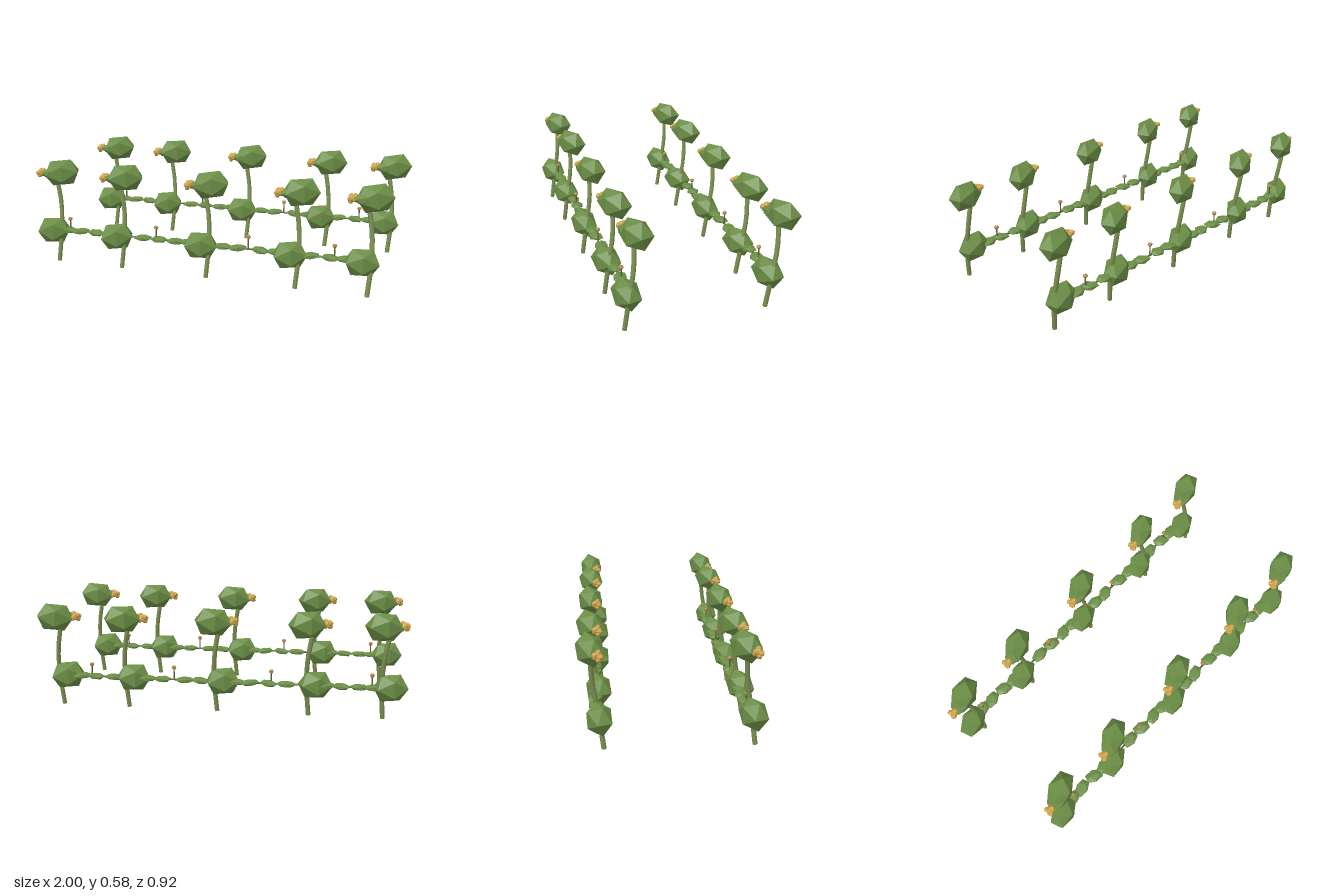
import * as THREE from 'three';

const mat = (color, flatShading = true) => new THREE.MeshStandardMaterial({ color, flatShading });
const leafGreen = mat(0x6b8e46);
const stemGreen = mat(0x7a9150, false);
const petal = mat(0xd0a54c);
const twig = mat(0x5f6238);
const budTan = mat(0xb88a4a);

const ico = new THREE.IcosahedronGeometry(1, 0);

// A faceted lump, stretched and turned
function lump(name, material, pos, scale, yaw = 0, roll = 0) {
  const m = new THREE.Mesh(ico, material);
  m.name = name;
  m.position.set(...pos);
  m.scale.set(...scale);
  m.rotation.set(0, yaw, roll);
  return m;
}

// One plant: curved stem, low foliage, drooping crown and flower
function plant(i) {
  const g = new THREE.Group();
  g.name = 'plant';
  const path = new THREE.CatmullRomCurve3([
    [0, 0, 0.04], [0.012, 0.18, 0.017], [0.004, 0.33, -0.008], [-0.02, 0.47, -0.016],
  ].map((p) => new THREE.Vector3(...p)));
  const stem = new THREE.Mesh(new THREE.TubeGeometry(path, 8, 0.0125, 8), stemGreen);
  stem.name = 'stem';
  const cap = new THREE.Mesh(new THREE.CircleGeometry(0.0125, 8), stemGreen);
  cap.name = 'stemEnd';
  cap.rotation.x = Math.PI / 2;
  cap.position.set(0, 0.001, 0.04);
  g.add(stem, cap);

  const wobble = [0, 0.06, -0.04, 0.05, -0.05][i];
  g.add(lump('lowerFoliage', leafGreen, [-0.035, 0.174, 0.02], [0.1, 0.083, 0.069], 0.33 + wobble, wobble));
  g.add(lump('crownFoliage', leafGreen, [0.012, 0.505, -0.018], [0.108, 0.082, 0.07], 0.4 + wobble, 0.08 - wobble));
  g.add(lump('bract', leafGreen, [-0.03, 0.506, 0.023], [0.066, 0.028, 0.03], 0.12, 0.06));

  // Flower made of small petals clustered round a centre
  const flower = new THREE.Group();
  flower.name = 'flower';
  flower.position.set(-0.094, 0.506, 0.018);
  flower.add(lump('flowerCentre', petal, [0, 0, 0], [0.024, 0.024, 0.024], 0.4));
  for (let k = 0; k < 5; k++) {
    const a = (k / 5) * Math.PI * 2;
    flower.add(lump('petal', petal, [k % 2 ? 0.012 : -0.012, 0.014 * Math.sin(a), 0.015 * Math.cos(a)],
      [0.017, 0.015, 0.015], a, a));
  }
  g.add(flower);
  return g;
}

// A thin stalk with a bud on top
function sprig() {
  const g = new THREE.Group();
  g.name = 'sprig';
  const stalk = new THREE.Mesh(new THREE.CylinderGeometry(0.004, 0.004, 0.066, 6), twig);
  stalk.name = 'stalk';
  stalk.position.y = 0.207;
  g.add(stalk, lump('bud', budTan, [0, 0.243, 0], [0.014, 0.012, 0.014]));
  return g;
}

function row() {
  const g = new THREE.Group();
  g.name = 'row';
  [-0.872, -0.478, 0.02, 0.515, 0.892].forEach((x, i) => {
    const p = plant(i);
    p.position.x = x;
    g.add(p);
  });
  // Creeping leaves between the plants
  [-0.82, -0.745, -0.65, -0.57, -0.36, -0.265, -0.165, -0.09, 0.105, 0.19, 0.315, 0.4, 0.585, 0.69, 0.77]
    .forEach((x, i) => g.add(lump('creepingLeaf', leafGreen, [x, 0.176, 0.003],
      [0.055, 0.018, 0.039], 0.35 * Math.sin(i * 2.3), 0.08 * Math.sin(i * 1.7))));
  [-0.81, -0.28, 0.25, 0.712].forEach((x) => {
    const s = sprig();
    s.position.set(x, 0, 0.003);
    g.add(s);
  });
  // Runner tying the row together at the sprigs
  const runner = new THREE.Mesh(new THREE.CylinderGeometry(0.005, 0.005, 1.72, 6), twig);
  runner.name = 'runner';
  runner.rotation.z = Math.PI / 2;
  runner.position.set(-0.01, 0.176, 0.003);
  g.add(runner);
  return g;
}

export function createModel() {
  const model = new THREE.Group();
  model.name = 'plantRows';
  for (const z of [0.37, -0.37]) {
    const r = row();
    r.position.z = z;
    model.add(r);
  }
  return model;
}
